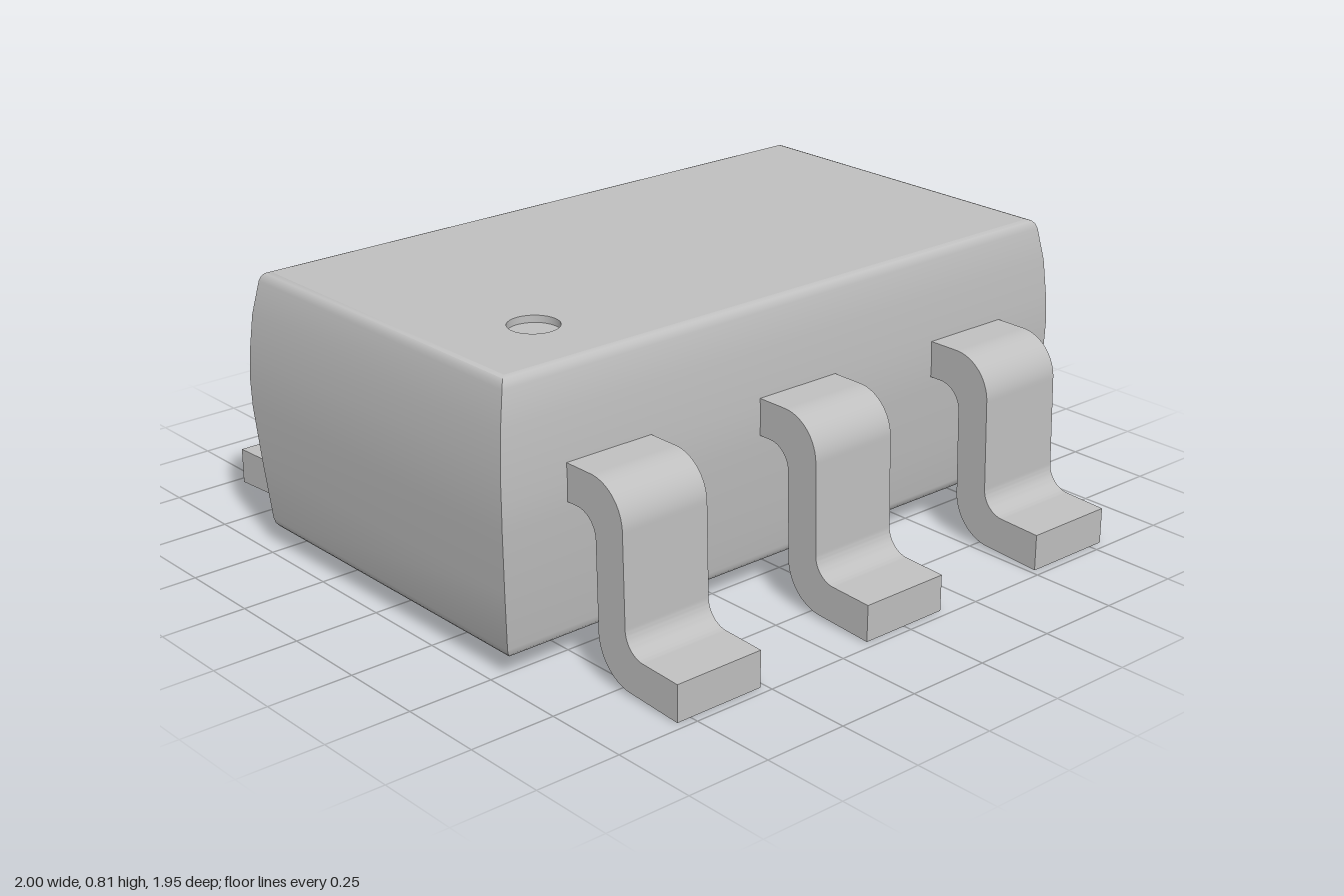
import * as THREE from 'three';
import { toCreasedNormals } from 'three/addons/utils/BufferGeometryUtils.js';

const DIMPLE = { x: -0.67, z: 0.28, r: 0.07, depth: 0.02 };

// Body walls: rectangular rings [half width, half depth, height] joined from bottom to top
const RINGS = [
  [0.945, 0.51, 0.057], [0.957, 0.522, 0.06], [0.965, 0.53, 0.069], [0.97, 0.533, 0.085],
  [0.985, 0.547, 0.25], [0.998, 0.56, 0.42], [1, 0.562, 0.5], [0.998, 0.558, 0.58],
  [0.988, 0.55, 0.69], [0.97, 0.536, 0.785], [0.965, 0.531, 0.799], [0.957, 0.523, 0.808], [0.945, 0.512, 0.812],
];

function wallGeometry() {
  const corners = ([w, d, y]) => [[-w, y, d], [w, y, d], [w, y, -d], [-w, y, -d]];
  const positions = [];
  for (let i = 0; i < RINGS.length - 1; i++) {
    const low = corners(RINGS[i]);
    const high = corners(RINGS[i + 1]);
    for (let k = 0; k < 4; k++) {
      const n = (k + 1) % 4;
      positions.push(...low[k], ...low[n], ...high[n], ...low[k], ...high[n], ...high[k]);
    }
  }
  const geometry = new THREE.BufferGeometry();
  geometry.setAttribute('position', new THREE.Float32BufferAttribute(positions, 3));
  return toCreasedNormals(geometry, 0.6);
}

// Flat top with a round opening for the pin-one dimple
function topGeometry() {
  const [w, d, y] = RINGS[RINGS.length - 1];
  const shape = new THREE.Shape();
  shape.moveTo(-w, -d).lineTo(w, -d).lineTo(w, d).lineTo(-w, d).closePath();
  shape.holes.push(new THREE.Path().absarc(DIMPLE.x, -DIMPLE.z, DIMPLE.r, 0, Math.PI * 2, true));
  return new THREE.ShapeGeometry(shape, 16).rotateX(-Math.PI / 2).translate(0, y, 0);
}

// Gull-wing lead: side outline (z, y) extruded across x
function leadGeometry(width) {
  const s = new THREE.Shape();
  s.moveTo(0.5, 0.45);
  s.lineTo(0.6, 0.45);
  s.absarc(0.6, 0.38, 0.07, Math.PI / 2, 0, true);
  s.lineTo(0.677, 0.15);
  s.absarc(0.807, 0.14, 0.13, Math.PI, Math.PI * 1.5, false);
  s.lineTo(0.975, 0.0);
  s.lineTo(0.975, 0.105);
  s.lineTo(0.85, 0.11);
  s.absarc(0.85, 0.18, 0.07, Math.PI * 1.5, Math.PI, true);
  s.lineTo(0.772, 0.435);
  s.absarc(0.652, 0.435, 0.12, 0, Math.PI / 2, false);
  s.lineTo(0.5, 0.555);
  const geometry = new THREE.ExtrudeGeometry(s, { depth: width, bevelEnabled: false, curveSegments: 10 });
  geometry.translate(0, 0, -width / 2).rotateY(-Math.PI / 2);
  return toCreasedNormals(geometry, 0.6);
}

export function createModel() {
  const model = new THREE.Group();
  const grey = new THREE.MeshStandardMaterial({ color: 0xc0c0c0, side: THREE.DoubleSide });
  grey.name = 'light grey';

  const add = (parent, name, geometry) => {
    const mesh = new THREE.Mesh(geometry, grey);
    mesh.name = name;
    parent.add(mesh);
    return mesh;
  };

  // Moulded body
  const body = new THREE.Group();
  body.name = 'body';
  model.add(body);
  add(body, 'bodyWalls', wallGeometry());
  add(body, 'bodyTop', topGeometry());
  const [bw, bd, by] = RINGS[0];
  add(body, 'bodyBottom', new THREE.PlaneGeometry(bw * 2, bd * 2).rotateX(Math.PI / 2).translate(0, by, 0));

  // Recessed pin-one dimple
  const { x, z, r, depth } = DIMPLE;
  const topY = RINGS[RINGS.length - 1][2];
  add(body, 'dimpleWall', new THREE.CylinderGeometry(r, r, depth, 32, 1, true).translate(x, topY - depth / 2, z));
  add(body, 'dimpleFloor', new THREE.CircleGeometry(r, 32).rotateX(-Math.PI / 2).translate(x, topY - depth, z));

  // Three leads in front, two behind
  const lead = leadGeometry(0.277);
  for (const px of [-0.655, 0, 0.655]) add(model, 'frontLead', lead).position.x = px;
  for (const px of [-0.655, 0.655]) {
    const back = add(model, 'backLead', lead);
    back.position.x = px;
    back.rotation.y = Math.PI;
  }
  return model;
}
